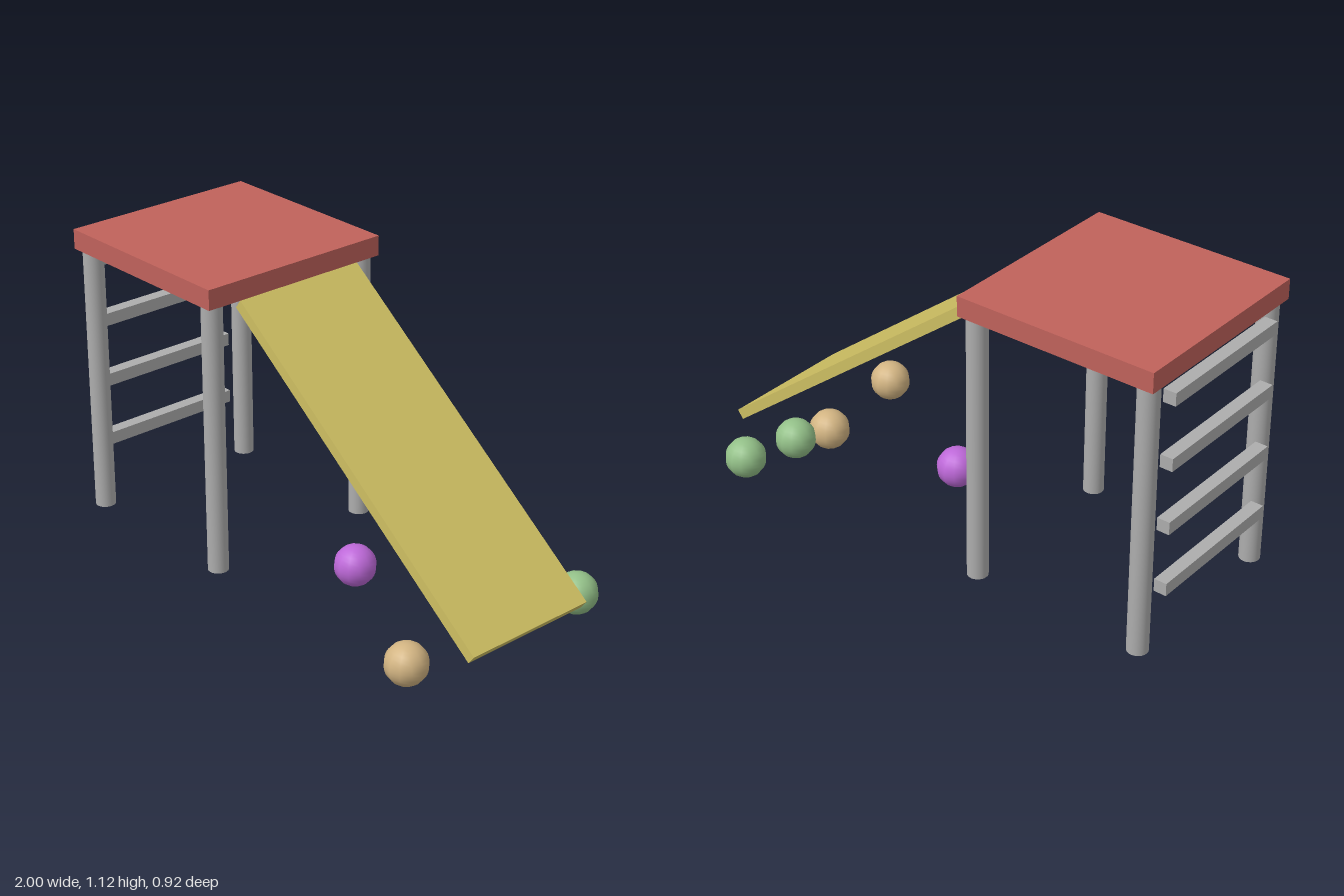
import * as THREE from 'three';

const paint = (name, color) => new THREE.MeshStandardMaterial({ name, color });

export function createModel() {
  const red = paint('red', 0xc0625b);
  const yellow = paint('yellow', 0xcdbe62);
  const grey = paint('grey', 0xadadad);
  const tan = paint('tan', 0xd2b482);
  const green = paint('green', 0x93c088);
  const purple = paint('purple', 0xbd68d8);

  const group = new THREE.Group();
  const zMid = 0.015;
  const add = (name, geometry, material, x, y, z) => {
    const mesh = new THREE.Mesh(geometry, material);
    mesh.name = name;
    mesh.position.set(x, y, z);
    group.add(mesh);
    return mesh;
  };

  // Platform on four round posts
  add('platform', new THREE.BoxGeometry(0.785, 0.076, 0.785), red, -0.585, 1.082, zMid);
  const postGeometry = new THREE.CylinderGeometry(0.039, 0.039, 1.045, 24);
  for (const x of [-0.93, -0.24]) {
    for (const side of [-1, 1]) add('post', postGeometry, grey, x, 0.5225, zMid + side * 0.344);
  }

  // Ladder rungs
  const rungGeometry = new THREE.BoxGeometry(0.049, 0.049, 0.588);
  for (let i = 0; i < 4; i++) add('rung', rungGeometry, grey, -0.975, 0.248 + i * 0.2455, zMid);

  // Sloping slide board
  const slide = add('slide', new THREE.BoxGeometry(1.472, 0.04, 0.54), yellow, 0.399, 0.592, zMid);
  slide.rotation.z = -0.651;

  // Loose balls
  const ballGeometry = new THREE.SphereGeometry(0.078, 12, 16);
  const balls = [
    [tan, 0.78, 0.38], [purple, 0.175, 0.063], [tan, 0.724, -0.04],
    [green, 0.78, -0.17], [green, 0.835, -0.385],
  ];
  for (const [material, x, z] of balls) add('ball', ballGeometry, material, x, 0.079, z);

  return group;
}
